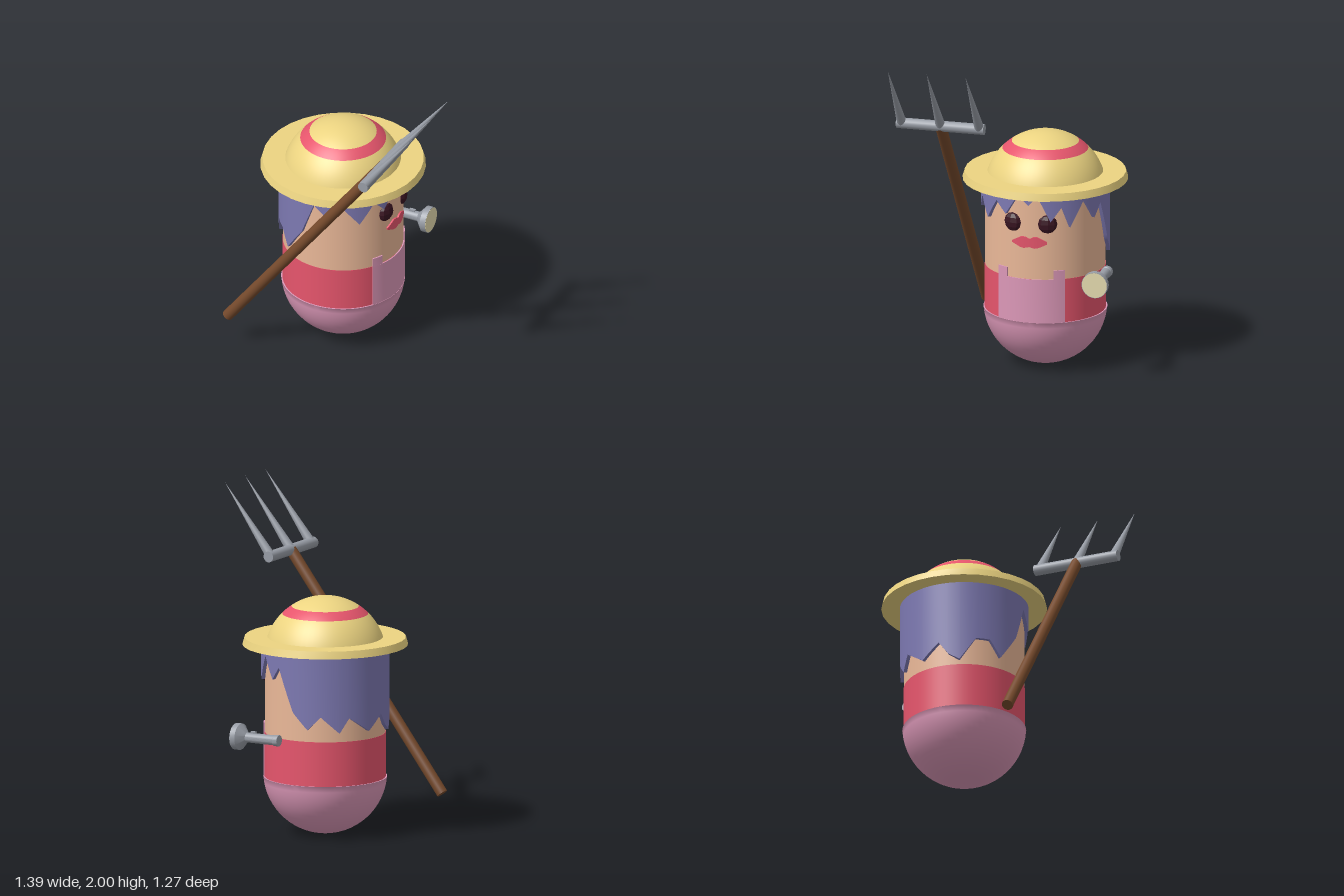
import * as THREE from 'three';
import { toCreasedNormals } from 'three/addons/utils/BufferGeometryUtils.js';

const C = {
  straw: 0xecd481, red: 0xe6556c, skin: 0xeab898, hair: 0x7d79b2, pink: 0xdc98b8,
  wood: 0x764a2c, metal: 0x989da6, lens: 0xe6dcb0, eye: 0x3a1522,
};

function add(parent, name, geometry, color) {
  const mesh = new THREE.Mesh(geometry, new THREE.MeshStandardMaterial({ color }));
  mesh.name = name;
  parent.add(mesh);
  return mesh;
}

// Height at an angle along a polyline of [degrees, y] points
function heightAt(pts, a) {
  for (let i = 1; i < pts.length; i++) {
    const [a0, y0] = pts[i - 1], [a1, y1] = pts[i];
    if (a <= a1) return y0 + (y1 - y0) * (a - a0) / (a1 - a0);
  }
  return pts[pts.length - 1][1];
}

// Curved plate wrapped round the y axis; angle 0 is the face (+x), 90 is +z
function plate(rIn, rOut, bottom, top) {
  const start = bottom[0][0], end = bottom[bottom.length - 1][0];
  const set = new Set([...bottom, ...top].map((p) => p[0]));
  for (let a = start; a < end; a += 4) set.add(a);
  const angles = [...set].sort((p, q) => p - q);
  const pos = [], idx = [];
  for (const a of angles) {
    const t = THREE.MathUtils.degToRad(a), b = heightAt(bottom, a), h = heightAt(top, a);
    for (const [r, y] of [[rIn, b], [rOut, b], [rOut, h], [rIn, h]]) {
      pos.push(r * Math.cos(t), y, r * Math.sin(t));
    }
  }
  for (let i = 0; i < angles.length - 1; i++) {
    for (let k = 0; k < 4; k++) {
      const p = i * 4 + k, q = i * 4 + (k + 1) % 4;
      idx.push(p, q, q + 4, p, q + 4, p + 4);
    }
  }
  const e = (angles.length - 1) * 4;
  idx.push(0, 2, 1, 0, 3, 2, e, e + 1, e + 2, e, e + 2, e + 3);
  const g = new THREE.BufferGeometry();
  g.setAttribute('position', new THREE.Float32BufferAttribute(pos, 3));
  g.setIndex(idx);
  return toCreasedNormals(g, 0.6);
}

const flat = (a, b, y) => [[a, y], [b, y]];

function createCharacter() {
  const g = new THREE.Group();
  g.name = 'character';

  // Capsule body in coloured sections
  const bowl = [];
  for (let i = 0; i <= 16; i++) {
    const t = (i / 16) * 1.5;
    bowl.push(new THREE.Vector2(0.37 * Math.sin(t), 0.37 - 0.37 * Math.cos(t)));
  }
  bowl.push(new THREE.Vector2(0.37, 0.345), new THREE.Vector2(0.35, 0.345));
  add(g, 'trousers', toCreasedNormals(new THREE.LatheGeometry(bowl, 64), 0.6), C.pink);
  add(g, 'shirt', new THREE.CylinderGeometry(0.362, 0.362, 0.27, 64), C.red).position.y = 0.48;
  add(g, 'head', new THREE.CylinderGeometry(0.36, 0.36, 0.55, 64), C.skin).position.y = 0.885;

  // Bib and its two straps
  add(g, 'bib', plate(0.35, 0.368, flat(-34, 34, 0.34), flat(-34, 34, 0.615)), C.pink);
  for (const a of [-34, 23]) {
    add(g, 'strap', plate(0.35, 0.368, flat(a, a + 11, 0.61), flat(a, a + 11, 0.672)), C.pink);
  }

  // Hair with a jagged hem, short over the face and long at the back
  const hem = [
    [-180, 0.76], [-163, 0.67], [-142, 0.76], [-133, 0.67], [-116, 0.77], [-104, 0.69],
    [-90, 0.79], [-74, 1.05], [-65, 0.97], [-52, 1.1], [-38, 0.94], [-30, 1.07], [-20, 0.98],
    [-8, 1.14], [0, 1.08], [10, 1.14], [23, 1.01], [34, 1.08], [48, 0.95], [62, 1.06],
    [74, 0.97], [90, 1.07], [103, 0.85], [122, 0.68], [133, 0.78], [146, 0.78],
    [161, 0.64], [171, 0.68], [180, 0.76],
  ];
  add(g, 'hair', plate(0.362, 0.384, hem, flat(-180, 180, 1.155)), C.hair);

  // Eyes and lips
  for (const s of [-1, 1]) {
    const eye = add(g, 'eye', new THREE.SphereGeometry(0.058, 8, 6), C.eye);
    eye.material.flatShading = true;
    eye.scale.x = 0.5;
    eye.position.set(0.343, 0.962, s * 0.108);
    eye.rotation.y = -s * 0.3;
  }
  const lipTop = [[-17, 0.85], [-8, 0.88], [-4, 0.88], [0, 0.867], [4, 0.88], [8, 0.88], [17, 0.85]];
  const lipBottom = [[-17, 0.838], [-9, 0.815], [-5, 0.81], [0, 0.818], [5, 0.81], [9, 0.815], [17, 0.838]];
  add(g, 'lips', plate(0.35, 0.37, lipBottom, lipTop), C.red);

  // Straw hat: brim, then dome split by a ribbon
  const brim = new THREE.CylinderGeometry(0.482, 0.495, 0.045, 32);
  add(g, 'hatBrim', toCreasedNormals(brim, 0.6), C.straw).position.y = 1.167;
  const domeParts = [['hatTop', 0, 0.582, C.straw], ['hatRibbon', 0.582, 0.778, C.red], ['hatDome', 0.778, 1.3, C.straw]];
  for (const [name, from, to, color] of domeParts) {
    const dome = new THREE.SphereGeometry(0.365, 64, 12, 0, Math.PI * 2, from, to - from);
    add(g, name, dome, color).position.y = 1.07;
  }
  g.position.set(-0.155, 0, -0.138);
  return g;
}

function createTorch() {
  const g = new THREE.Group();
  g.name = 'torch';
  // Barrel, flared head and tail cap turned about the long axis
  const profile = [
    [0, 0], [0.034, 0], [0.034, 0.03], [0.03, 0.034], [0.03, 0.22],
    [0.08, 0.262], [0.08, 0.298], [0.074, 0.298],
  ].map(([r, y]) => new THREE.Vector2(r, y));
  add(g, 'torchCase', toCreasedNormals(new THREE.LatheGeometry(profile, 24), 0.5), C.metal);
  add(g, 'torchLens', new THREE.CylinderGeometry(0.077, 0.077, 0.01, 24), C.lens).position.y = 0.294;
  add(g, 'torchSwitch', new THREE.BoxGeometry(0.02, 0.035, 0.02), C.metal).position.set(-0.03, 0.175, 0);
  g.rotation.z = -Math.PI / 2;
  g.position.set(-0.073, 0.615, -0.545);
  return g;
}

function createPitchfork() {
  const g = new THREE.Group();
  g.name = 'pitchfork';
  // Built upright with the crossbar at the origin, then tilted
  add(g, 'handle', new THREE.CylinderGeometry(0.034, 0.034, 1.73, 24), C.wood).position.y = -0.865;
  const bar = add(g, 'crossbar', new THREE.CylinderGeometry(0.033, 0.033, 0.54, 16), C.metal);
  bar.rotation.x = Math.PI / 2;
  for (const z of [-0.24, 0, 0.24]) {
    add(g, 'tine', new THREE.ConeGeometry(0.03, 0.526, 16), C.metal).position.set(0, 0.263, z);
  }
  g.position.set(0.372, 1.581, 0.365);
  g.rotation.z = -0.647;
  return g;
}

export function createModel() {
  const model = new THREE.Group();
  model.name = 'farmer';
  model.add(createCharacter(), createTorch(), createPitchfork());
  return model;
}
